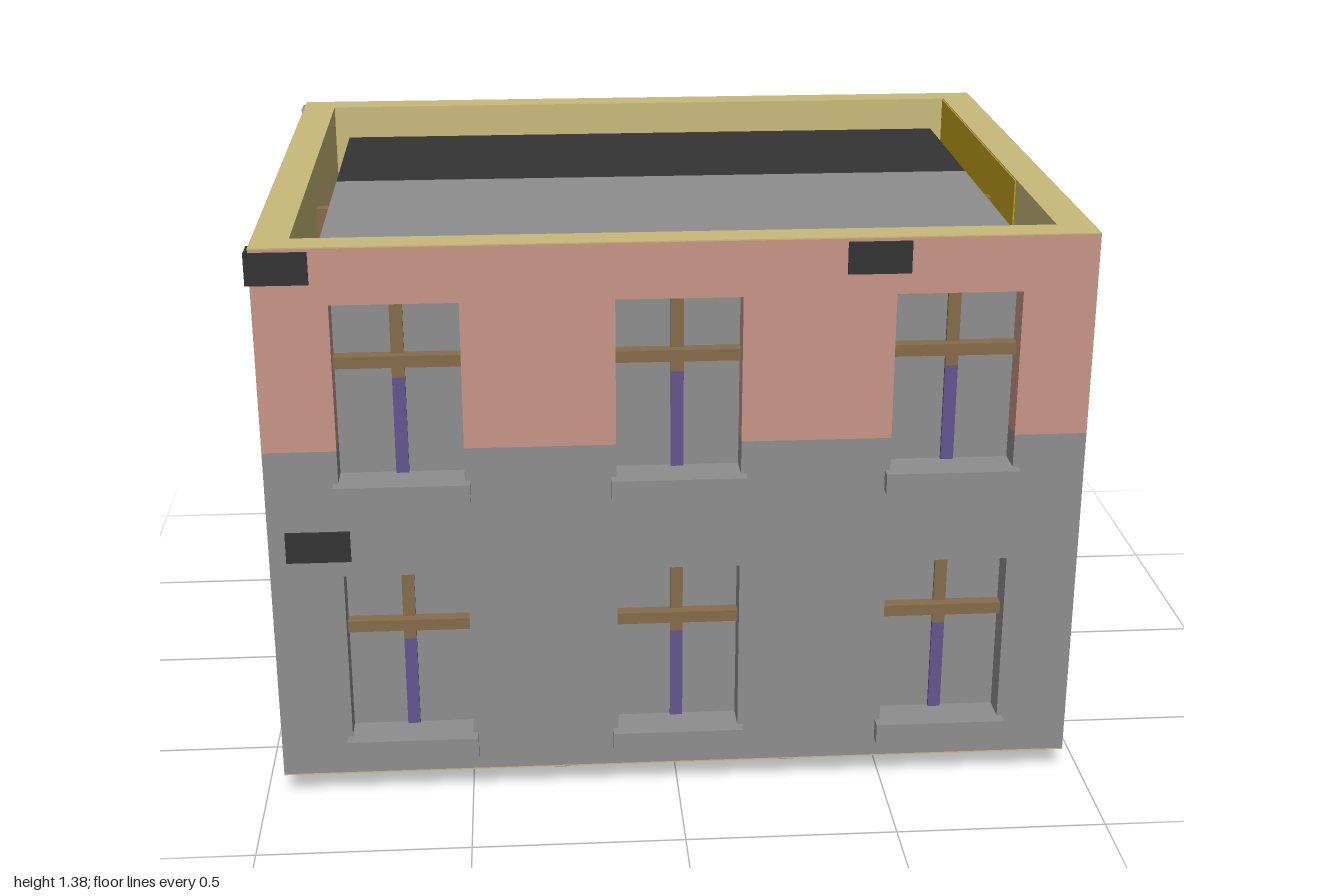
import * as THREE from 'three';

const mat = (name, color) => {
  const m = new THREE.MeshStandardMaterial({ color });
  m.name = name;
  return m;
};

export function createModel() {
  const grey = mat('concrete grey', 0x8e8e8e);
  const pink = mat('brick pink', 0xc69686);
  const gold = mat('plaster gold', 0xcaba7a);
  const ochre = mat('ochre', 0xc4a41c);
  const dark = mat('charcoal', 0x343434);
  const brown = mat('wood brown', 0x866c4a);
  const purple = mat('purple', 0x61578f);

  const model = new THREE.Group();
  model.name = 'building';

  // Box given by its minimum and maximum on each axis
  const box = (parent, name, m, x0, x1, y0, y1, z0, z1) => {
    const g = new THREE.BoxGeometry(x1 - x0, y1 - y0, z1 - z0);
    const mesh = new THREE.Mesh(g, m);
    mesh.name = name;
    mesh.position.set((x0 + x1) / 2, (y0 + y1) / 2, (z0 + z1) / 2);
    parent.add(mesh);
    return mesh;
  };

  const bottom = 0.06, top = 1.385, paint = 0.9, lip = 0.003;
  const X = 0.955, Z = 0.745, half = 0.145;

  // One window, with its sill outside and inside and its cross bars
  function addWindow(wall, cx, sillY, headY, t, out) {
    const w = new THREE.Group();
    w.name = 'window';
    const bar = headY - 0.163, split = headY - 0.195;
    box(w, 'pane', grey, cx - half, cx + half, sillY, headY, -t, -t + 0.003);
    box(w, 'sill', grey, cx - 0.157, cx + 0.157, sillY, sillY + 0.05, -t - 0.07, out);
    box(w, 'crossBar', brown, cx - 0.24, cx + 0.24, bar, bar + 0.028, -t - 0.03, -0.035);
    box(w, 'upperMullion', brown, cx - 0.015, cx + 0.015, split, headY, -t - 0.035, -0.058);
    box(w, 'lowerMullion', purple, cx - 0.015, cx + 0.015, sillY + 0.05, split, -t - 0.035, -0.058);
    wall.add(w);
  }

  // A wall facing local +z, its outer surface at z = 0
  function addWall(name, length, centres, t, shift, out) {
    const wall = new THREE.Group();
    wall.name = name;
    const h = length / 2, y0 = bottom + lip, y1 = top - lip;
    const rows = [[0.11 + shift, 0.585 + shift], [0.77 + shift, 1.25 + shift]];
    const edges = [-h, ...centres.flatMap(c => [c - half, c + half]), h];
    for (let i = 0; i < edges.length; i += 2) {
      box(wall, 'lowerPier', grey, edges[i], edges[i + 1], y0, paint, -t, 0);
      box(wall, 'upperPier', pink, edges[i], edges[i + 1], paint, y1, -t, 0);
    }
    for (const c of centres) {
      box(wall, 'base', grey, c - half, c + half, y0, rows[0][0], -t, 0);
      box(wall, 'spandrel', grey, c - half, c + half, rows[0][1], rows[1][0], -t, 0);
      box(wall, 'lintel', pink, c - half, c + half, rows[1][1], y1, -t, 0);
      for (const [s, e] of rows) addWindow(wall, c, s, e, t, out);
    }
    model.add(wall);
    return wall;
  }

  const triple = [-0.64, 0, 0.64];
  addWall('frontWall', 2 * X, triple, 0.07, 0, 0.03).position.z = Z;
  const back = addWall('backWall', 2 * X, triple, 0.07, 0, 0.03);
  back.rotation.y = Math.PI;
  back.position.z = -Z;
  for (const s of [1, -1]) {
    const side = addWall(s > 0 ? 'leftWall' : 'rightWall', 1.35, [0], 0.08, 0.025, 0.045);
    side.rotation.y = s * Math.PI / 2;
    side.position.x = s * X;
  }

  // Plastered inner faces, and rims closing the walls above and below
  for (const s of [1, -1]) {
    const span = (a, b) => (s > 0 ? [a, b] : [-b, -a]);
    box(model, 'innerLongFace', gold, -0.875, 0.875, bottom, top, ...span(0.67, 0.675));
    box(model, 'innerShortFace', gold, ...span(0.87, 0.875), bottom, top, -0.67, 0.67);
    for (const y of [bottom, top - lip]) {
      box(model, 'longRim', gold, -X, X, y, y + lip, ...span(0.67, Z));
      box(model, 'shortRim', gold, ...span(0.87, X), y, y + lip, -0.67, 0.67);
    }
  }
  box(model, 'ochrePatch', ochre, 0.867, 0.87, bottom, top - lip, -0.67, 0.26);

  // Roof slab and partitions, the rear strip dark
  const roof = 1.305, under = 1.255;
  box(model, 'roofSlab', grey, -0.83, 0.83, under, roof, -0.145, 0.645);
  box(model, 'rearRoofSlab', dark, -0.83, 0.83, under, roof, -0.64, -0.145);
  for (const s of [1, -1]) {
    const x = s * 0.28;
    box(model, 'crossPartition', grey, x - 0.02, x + 0.02, 0, under, -0.14, 0.645);
    box(model, 'rearCrossPartition', dark, x - 0.02, x + 0.02, 0, under, -0.635, -0.14);
    const a = s > 0 ? 0.3 : -0.83;
    box(model, 'longPartition', grey, a, a + 0.53, 0, under, -0.02, 0.03);
  }

  // Loose blocks bedded in the walls
  const block = (...a) => box(model, 'wallBlock', ...a);
  const f0 = 0.69, f1 = 0.752;
  block(dark, -0.965, -0.825, 1.30, 1.375, f0, f1);
  block(dark, 0.38, 0.525, 1.30, 1.375, f0, f1);
  block(dark, -0.915, -0.765, 0.625, 0.70, f0, f1);
  block(grey, -0.965, -0.825, 1.30, 1.375, -f1, -f0);
  block(grey, 0.38, 0.525, 1.30, 1.375, -f1, -f0);
  block(brown, -0.245, -0.145, 0.675, 0.75, -f1, -f0);
  block(dark, -0.145, -0.10, 0.675, 0.75, -f1, -f0);
  block(grey, -0.525, -0.38, 0.03, 0.10, -f1, -0.715);
  block(dark, -0.525, -0.38, 0.03, 0.10, -0.715, -0.675);
  block(dark, 0.9, 0.965, 0.92, 1.0, -0.615, -0.47);
  block(dark, 0.9, 0.965, 0.845, 0.92, -0.65, -0.505);
  block(grey, -0.965, -0.9, 0.92, 1.0, -0.615, -0.47);
  block(brown, -0.965, -0.9, 0.845, 0.92, -0.65, -0.505);
  block(dark, 0.825, 0.965, 0.055, 0.13, -0.748, -0.675);
  block(brown, 0.825, 0.963, 0.056, 0.13, -0.753, -0.748);

  return model;
}
